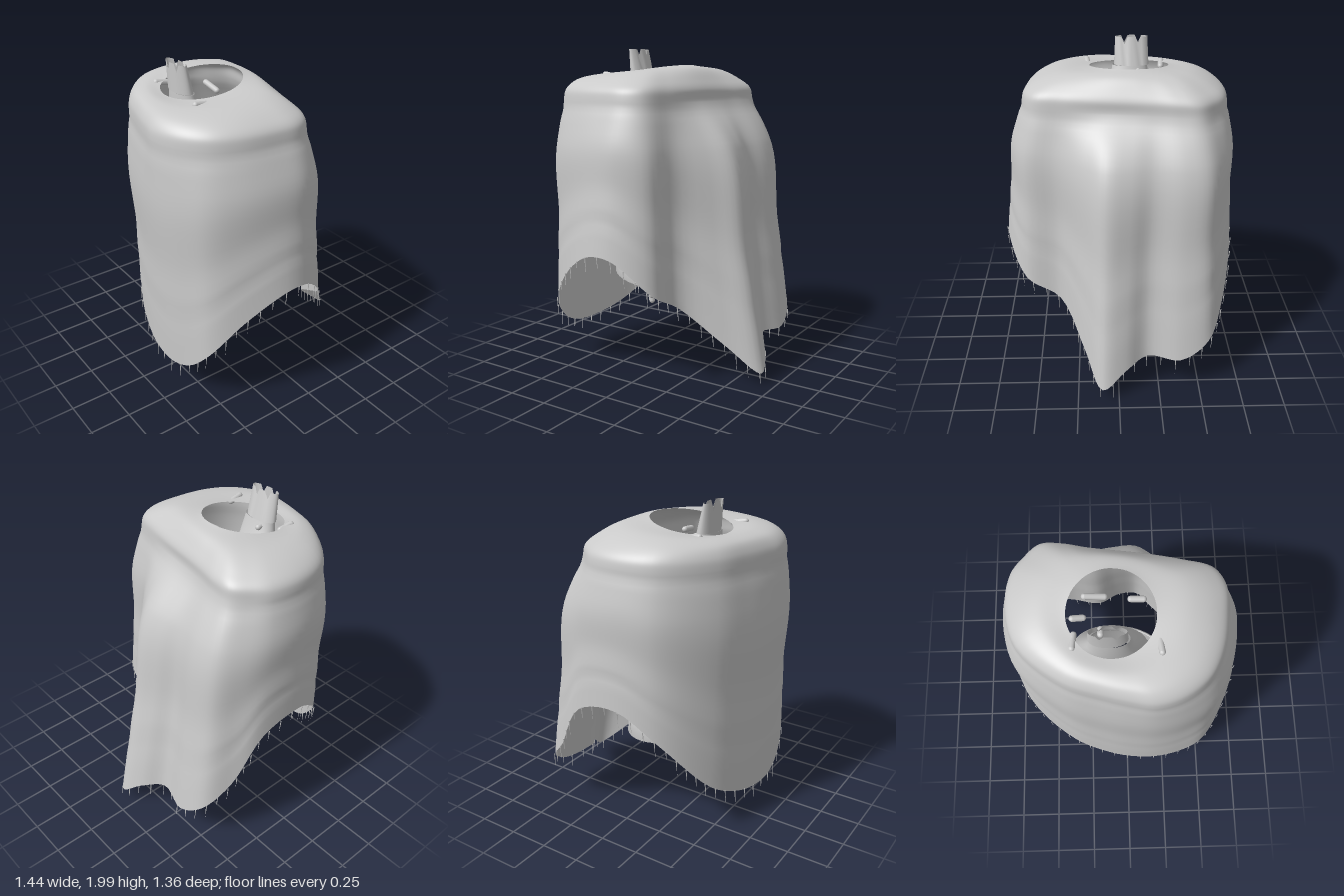
import * as THREE from 'three';

const V = (x, y, z) => new THREE.Vector3(x, y, z);

// Skin a stack of closed rings, listed from top to bottom
function loft(rings) {
  const n = rings[0].length, index = [];
  for (let r = 0; r < rings.length - 1; r++) {
    for (let i = 0; i < n; i++) {
      const a = r * n + i, b = r * n + (i + 1) % n;
      index.push(a, a + n, b + n, a, b + n, b);
    }
  }
  const g = new THREE.BufferGeometry().setFromPoints(rings.flat());
  g.setIndex(index);
  g.computeVertexNormals();
  return g;
}

const ellipse = (cx, y, cz, rx, rz, n, tilt = 0) => Array.from({ length: n }, (_, i) => {
  const a = i / n * Math.PI * 2, s = Math.sin(a), c = Math.cos(a);
  return V(cx + rx * s, y + tilt * c, cz + rz * c);
});

// Outward horizontal step of a given length from the middle of the cloth
const outward = (p, length) => V(p.x, 0, p.z - .1).setLength(1).multiplyScalar(length);

// Cloth columns from the front round by +x: hem x, y, z; shoulder x, z
const columns = [
  [.18, .21, .64, .15, .675], [.35, .27, .62, .31, .63], [.5, .42, .57, .45, .52],
  [.62, .65, .4, .53, .36], [.7, .81, .16, .565, .15], [.69, .8, 0, .565, 0],
  [.57, .6, -.2, .5, -.11], [.36, .48, -.25, .33, -.16], [.21, .25, -.48, .18, -.19],
  [.1, .08, -.67, .05, -.21], [-.04, .18, -.62, -.1, -.23], [-.18, .23, -.53, -.22, -.25],
  [-.38, .22, -.57, -.36, -.28], [-.55, .33, -.53, -.48, -.28], [-.64, .5, -.38, -.57, -.2],
  [-.7, .82, -.18, -.64, -.1], [-.71, .88, .1, -.665, .1], [-.63, .7, .33, -.6, .33],
  [-.36, .35, .53, -.35, .54], [-.15, .24, .6, -.15, .61], [0, .21, .63, .02, .655],
];

// Soft horizontal folds: f runs from 0 at the hem to 1 at the shoulder
const bump = (f, at, width) => Math.exp(-(((f - at) / width) ** 2));
const fold = f => .01 * bump(f, .72, .13) - .006 * bump(f, .45, .1) - .006 * bump(f, .23, .03)
  - .006 * bump(f, .95, .03);

function clothRings() {
  const STEPS = 56;
  const lines = columns.map(([hx, hy, hz, sx, sz]) => {
    // neck hole rim point facing this column
    const d = V(sx + .08, 0, sz - .2).setLength(.24);
    const neck = V(-.08 + d.x, 1.863 - .15 * d.z, .2 + d.z);
    const shoulder = V(sx, 1.68, sz), hem = V(hx, hy, hz);
    const mid = shoulder.clone().lerp(hem, .4).add(outward(hem, .018)).setY(1.4);
    const top = (t, y) => neck.clone().lerp(shoulder, t).setY(y);
    const curve = new THREE.CatmullRomCurve3([
      neck, top(.45, neck.y * .6 + .735), top(.78, 1.808), top(.95, 1.755),
      shoulder, mid, mid.clone().lerp(hem, .5), hem]);
    return Array.from({ length: STEPS + 1 }, (_, k) => {
      const p = curve.getPoint(k / STEPS);
      return k > STEPS * .5 ? p.add(outward(p, fold((p.y - hy) / (1.7 - hy)))) : p;
    });
  });
  const n = columns.length * 5;
  return Array.from({ length: STEPS + 1 }, (_, k) => {
    const ring = new THREE.CatmullRomCurve3(lines.map(l => l[k]), true);
    return Array.from({ length: n }, (_, i) => ring.getPoint(i / n));
  });
}

export function createModel() {
  const model = new THREE.Group();
  const cloth = new THREE.MeshStandardMaterial({ color: 0xcacaca, side: THREE.DoubleSide });
  cloth.name = 'pale grey cloth';
  const add = (name, geometry, parent = model) => {
    const m = new THREE.Mesh(geometry, cloth);
    m.name = name;
    parent.add(m);
    return m;
  };

  // Draped poncho
  const rings = clothRings();
  add('poncho', loft(rings));

  // Fringe strands along the hem
  const fringe = new THREE.Group();
  fringe.name = 'fringe';
  model.add(fringe);
  const hem = new THREE.CatmullRomCurve3(rings.at(-1), true);
  const strands = 60;
  for (let i = 0; i < strands; i++) {
    const p = hem.getPointAt(i / strands);
    const length = Math.min(.085 + .02 * Math.sin(i * 2.4), p.y);
    const strand = add('strand', new THREE.ConeGeometry(.004, length, 3), fringe);
    const lean = outward(p, .08);
    strand.position.copy(p).add(outward(p, .004));
    strand.position.y = p.y - length / 2 + .004;
    strand.rotation.set(Math.PI - lean.z, 0, lean.x);
  }

  // Inner vest: an open tube leaning forward to the collar and widening to the waist
  add('vest', loft([
    [1.83, .33, .108, .052], [1.7, .31, .13, .075], [1.5, .25, .21, .12],
    [1.1, .17, .25, .135], [.8, .11, .28, .145], [.64, .1, .3, .17],
  ].map(([y, z, rx, rz]) => ellipse(-.09, y, z, rx, rz, 32))));

  // Collar with two notches in the front and back edges
  const collarTop = ellipse(-.1, 2, .355, .1, .03, 28);
  for (const i of [2, 12, 16, 26]) collarTop[i].y = 1.955;
  add('collar', loft([collarTop, ellipse(-.1, 1.83, .33, .108, .052, 28)]));

  // Tilted belt with thickness
  const belt = [[.655, 0], [.66, .012], [.56, .016], [.555, 0], [.655, 0]];
  add('belt', loft(belt.map(([y, t]) =>
    ellipse(-.06, y, .115, .35 + t, .3 + t, 40, .045))));

  // Buckle and knotted cord ends on the belt
  add('buckle', new THREE.BoxGeometry(.03, .08, .025)).position.set(.24, .6, -.09);
  const toggle = (name, x, y, z, length, rx, rz) => {
    const m = add(name, new THREE.CapsuleGeometry(.018, length, 4, 10));
    m.position.set(x, y, z);
    m.rotation.set(rx, 0, rz);
  };
  toggle('cordEnd', .29, .51, 0, .07, .2, 0);
  toggle('cordEnd', .3, .53, -.03, .05, -.7, 0);
  toggle('knot', .3, .58, .05, .04, Math.PI / 2, 0);

  // Toggles round the neck opening
  toggle('toggle', -.285, 1.83, .34, .08, 1.4, .1);
  toggle('toggle', .175, 1.835, .375, .08, 1.4, -.1);
  toggle('toggle', -.26, 1.8, .2, .06, .5, 1.2);
  toggle('toggle', .06, 1.78, .09, .07, 0, 1.5);
  toggle('toggle', -.17, 1.78, .07, .11, .2, 1.35);
  toggle('toggle', -.14, 1.8, .28, .03, 1.4, 0);

  return model;
}
